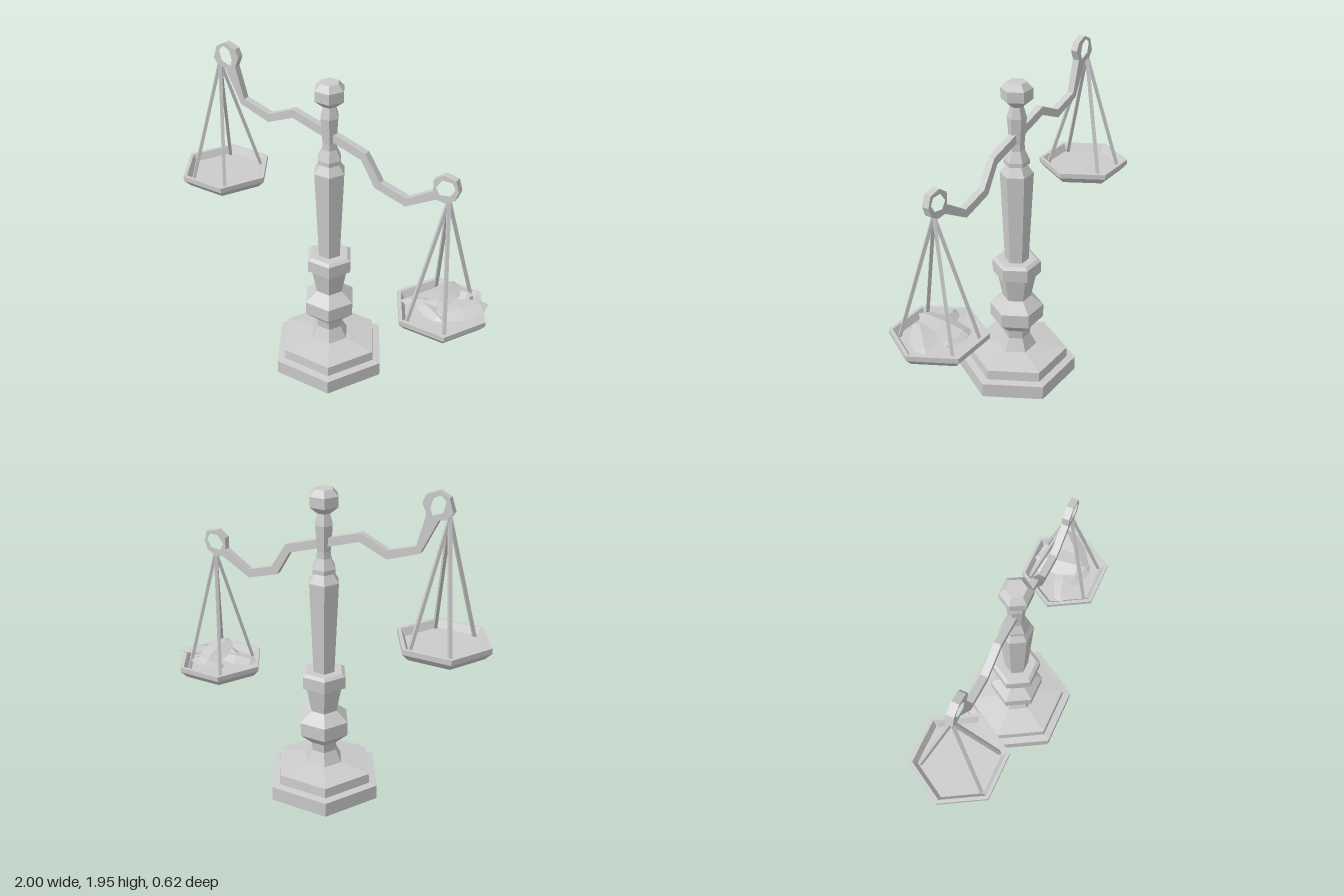
import * as THREE from 'three';

const material = new THREE.MeshStandardMaterial({ color: 0xcccccc, flatShading: true });

function part(name, geometry, parent) {
  const mesh = new THREE.Mesh(geometry, material);
  mesh.name = name;
  parent.add(mesh);
  return mesh;
}

const points = (list) => list.map(([x, y]) => new THREE.Vector2(x, y));

// Six-sided turned solid with corners on the x axis, profile given bottom to top
const hexTurned = (profile) => new THREE.LatheGeometry(points(profile), 6, Math.PI / 2);

// Straight square rod between two points
function rod(name, a, b, radius, parent) {
  const dir = b.clone().sub(a);
  const mesh = part(name, new THREE.CylinderGeometry(radius, radius, dir.length(), 4), parent);
  mesh.position.copy(a).add(b).multiplyScalar(0.5);
  mesh.quaternion.setFromUnitVectors(new THREE.Vector3(0, 1, 0), dir.normalize());
}

// Shallow six-sided pan with four hanging rods meeting at one point
function hangingPan(name, x, y, apex) {
  const group = new THREE.Group();
  group.name = name;
  const pan = part('pan', hexTurned([
    [0, 0], [0.235, 0], [0.272, 0.04], [0.272, 0.07], [0.25, 0.07], [0.225, 0.03], [0, 0.03],
  ]), group);
  pan.position.set(x, y, 0);
  for (const sx of [-1, 1]) for (const sz of [-1, 1]) {
    rod('hangingRod', new THREE.Vector3(apex.x + sx * 0.115, y + 0.03, sz * 0.18), apex, 0.013, group);
  }
  return group;
}

export function createModel() {
  const model = new THREE.Group();
  model.name = 'balanceScale';

  // Stepped base
  part('base', hexTurned([
    [0, 0], [0.36, 0], [0.36, 0.09], [0.31, 0.095], [0.305, 0.155], [0.12, 0.183], [0, 0.183],
  ]), model);

  // Column with bulge, collar and long shaft
  part('column', hexTurned([
    [0, 0.18], [0.12, 0.183], [0.08, 0.26], [0.085, 0.315], [0.16, 0.385], [0.16, 0.47],
    [0.085, 0.53], [0.115, 0.68], [0.142, 0.695], [0.142, 0.77], [0.12, 0.785], [0.07, 0.785],
    [0.095, 1.33], [0.095, 1.34], [0.06, 1.39], [0.073, 1.395], [0.073, 1.42], [0.045, 1.48],
    [0.043, 1.52], [0.055, 1.67], [0.035, 1.74], [0, 1.74],
  ]), model);

  // Finial
  part('finial', hexTurned([
    [0, 1.73], [0.04, 1.735], [0.088, 1.775], [0.088, 1.835], [0.055, 1.87], [0, 1.87],
  ]), model);

  // Tilted bent beam with a ring at each end
  const outline = new THREE.Shape(points([
    [-0.66, 1.95], [-0.595, 1.925], [-0.575, 1.88], [-0.6, 1.82], [-0.55, 1.64], [-0.385, 1.59],
    [-0.225, 1.66], [0.235, 1.52], [0.33, 1.37], [0.49, 1.325], [0.64, 1.42], [0.64, 1.49],
    [0.695, 1.53], [0.765, 1.515], [0.785, 1.455], [0.765, 1.4], [0.715, 1.37], [0.66, 1.375],
    [0.485, 1.275], [0.295, 1.33], [0.21, 1.475], [-0.225, 1.61], [-0.39, 1.54], [-0.575, 1.605],
    [-0.67, 1.8], [-0.715, 1.805], [-0.745, 1.845], [-0.72, 1.92],
  ]));
  outline.holes.push(
    new THREE.Path(points([
      [-0.675, 1.93], [-0.635, 1.91], [-0.62, 1.855], [-0.635, 1.82], [-0.69, 1.84], [-0.705, 1.9],
    ])),
    new THREE.Path(points([
      [0.655, 1.45], [0.69, 1.5], [0.745, 1.5], [0.765, 1.465], [0.74, 1.42], [0.68, 1.41],
    ])),
  );
  const beam = new THREE.ExtrudeGeometry(outline, { depth: 0.04, bevelEnabled: false });
  part('beam', beam.translate(0, 0, -0.02), model);

  // Raised and lowered pans
  model.add(hangingPan('raisedPan', -0.727, 1.08, new THREE.Vector3(-0.72, 1.82, 0)));
  model.add(hangingPan('loweredPan', 0.727, 0.62, new THREE.Vector3(0.725, 1.385, 0)));

  // Pile of flat pointed leaves: position, half length, half width, yaw, rise, roll
  const pile = new THREE.Group();
  pile.name = 'leafPile';
  const leaves = [
    [0.85, 0.715, 0.01, 0.165, 0.075, 0.8, 0.08, 0.15],
    [0.73, 0.75, -0.04, 0.16, 0.085, -1.45, 0.14, 0.1],
    [0.63, 0.695, 0.03, 0.13, 0.06, 0.25, 0.1, -0.2],
    [0.7, 0.7, 0.08, 0.12, 0.05, -0.5, 0.05, 0.2],
    [0.74, 0.71, -0.13, 0.12, 0.06, 0.1, 0.12, 0.1],
  ];
  for (const [x, y, z, length, width, yaw, rise, roll] of leaves) {
    const leaf = new THREE.SphereGeometry(1, 4, 4).rotateZ(Math.PI / 2).scale(length, 0.022, width);
    const mesh = part('leaf', leaf, pile);
    mesh.position.set(x, y, z);
    mesh.rotation.set(roll, yaw, rise, 'YZX');
  }
  model.add(pile);

  return model;
}
